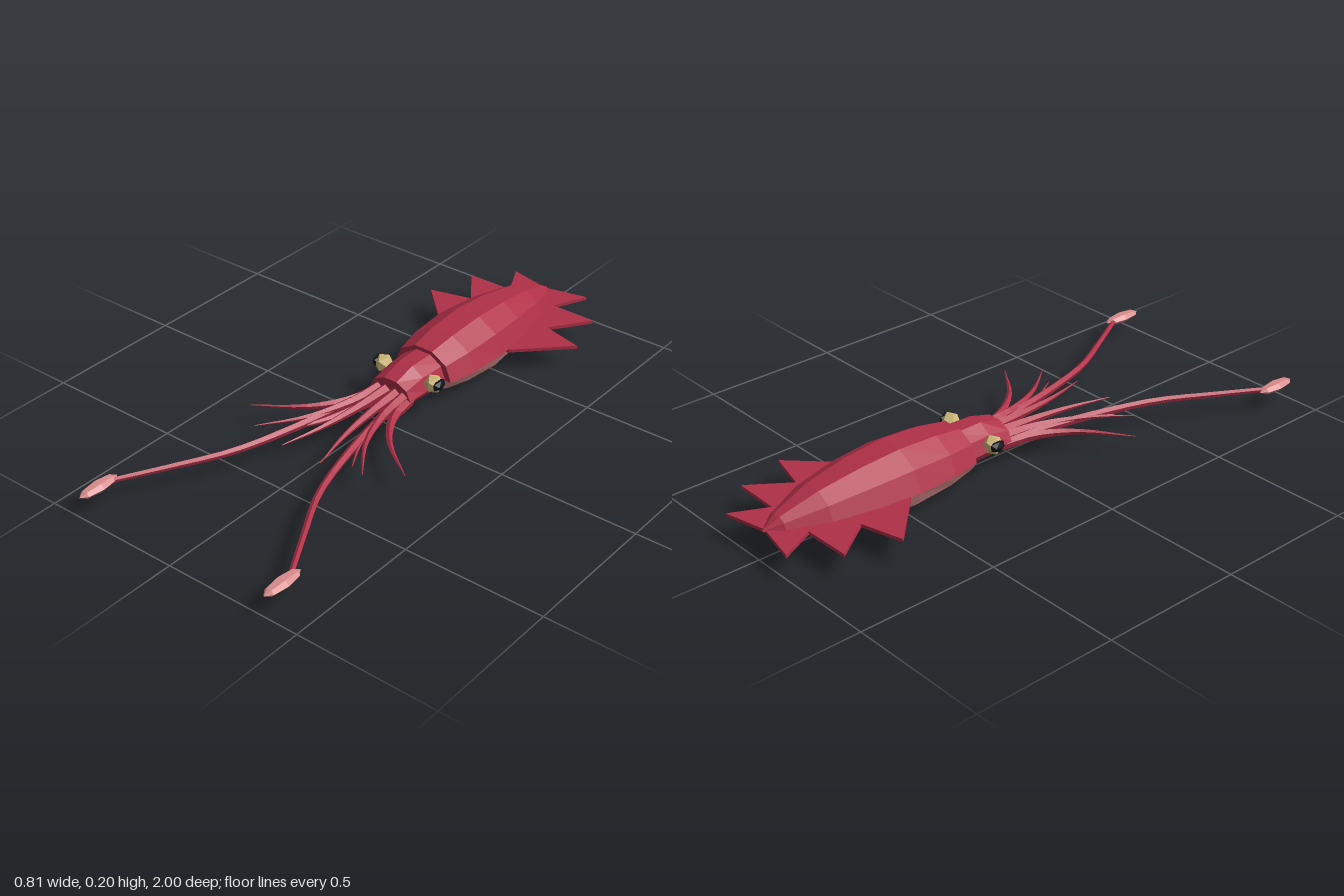
import * as THREE from 'three';

const paint = (name, color) => new THREE.MeshStandardMaterial({ name, color, flatShading: true });
const MID = 0.087; // height of the widest line of the body
const CX = 0.009;  // body axis

// Ten-sided loft along z; rings are [z, halfWidth, topY, bottomY], from front to back
function loft(rings, start, steps) {
  const pos = [], idx = [], n = steps + 1, peak = Math.sin(Math.PI * 0.4);
  for (const [z, w, top, bottom] of rings) {
    for (let j = 0; j < n; j++) {
      const a = (start + j) * Math.PI / 5, s = Math.sin(a);
      const h = (s > 0 ? top - MID : MID - bottom) / peak;
      pos.push(w * Math.cos(a), MID + h * s, z);
    }
  }
  for (let i = 0; i < rings.length - 1; i++) {
    for (let j = 0; j < steps; j++) {
      const a = i * n + j, c = a + n;
      idx.push(a, c, a + 1, a + 1, c, c + 1);
    }
  }
  // front cap
  const centre = pos.length / 3;
  pos.push(0, MID, rings[0][0]);
  for (let j = 0; j < steps; j++) idx.push(centre, j, j + 1);
  const g = new THREE.BufferGeometry();
  g.setAttribute('position', new THREE.Float32BufferAttribute(pos, 3));
  g.setIndex(idx);
  g.computeVertexNormals();
  return g;
}

// Tube whose radius shrinks from r0 to r1 along the path
function taperedTube(points, r0, r1, segments, sides) {
  const curve = new THREE.CatmullRomCurve3(points.map(p => new THREE.Vector3(...p)));
  const g = new THREE.TubeGeometry(curve, segments, 1, sides);
  const p = g.attributes.position, v = new THREE.Vector3();
  for (let i = 0; i < p.count; i++) {
    const t = Math.floor(i / (sides + 1)) / segments;
    const c = curve.getPointAt(t);
    v.fromBufferAttribute(p, i).sub(c).multiplyScalar(r0 + (r1 - r0) * t).add(c);
    p.setXYZ(i, v.x, v.y, v.z);
  }
  g.computeVertexNormals();
  return g;
}

export function createModel() {
  const red = paint('crimson skin', 0xb03048);
  const pink = paint('pale pink', 0xd88a8a);
  const gold = paint('eye gold', 0xd2ba78);
  const black = paint('pupil black', 0x10121a);

  const model = new THREE.Group();
  const body = new THREE.Group();
  body.name = 'body';
  body.position.x = CX;
  model.add(body);
  const add = (parent, name, geometry, material) => {
    const mesh = new THREE.Mesh(geometry, material);
    mesh.name = name;
    parent.add(mesh);
    return mesh;
  };

  // Mantle: red back and pale belly
  const mantle = [
    [-0.225, 0.118, 0.178, 0.035], [-0.33, 0.14, 0.195, 0.016], [-0.48, 0.147, 0.203, 0],
    [-0.63, 0.134, 0.192, 0.012], [-0.785, 0.102, 0.166, 0.034], [-0.92, 0.046, 0.122, 0.064],
    [-0.975, 0.001, 0.088, 0.086],
  ];
  add(body, 'mantleBack', loft(mantle, 0, 5), red);
  add(body, 'mantleBelly', loft(mantle, 5, 5), pink);

  // Head
  add(body, 'head', loft([
    [-0.045, 0.084, 0.142, 0.05], [-0.13, 0.088, 0.165, 0.043], [-0.26, 0.096, 0.165, 0.04],
  ], 0, 10), red);

  // Jagged tail fin
  const edge = [[0.147, -0.52], [0.319, -0.69], [0.167, -0.73], [0.267, -0.87], [0.095, -0.873], [0.157, -1]];
  const outline = [[0, -0.5], ...edge, [0, -0.965], ...edge.map(([x, z]) => [-x, z]).reverse()];
  const fin = new THREE.ExtrudeGeometry(
    new THREE.Shape(outline.map(p => new THREE.Vector2(...p))), { depth: 0.012, bevelEnabled: false });
  fin.rotateX(Math.PI / 2);
  add(body, 'tailFin', fin, red).position.y = 0.089;

  // Arms on each side: [rootX, rootY, tipX, tipY, tipZ]
  const arms = [
    [0.02, 0.095, 0.08, 0.088, 0.41], [0.038, 0.066, 0.16, 0.076, 0.35],
    [0.05, 0.092, 0.225, 0.087, 0.38], [0.062, 0.075, 0.325, 0.08, 0.29],
  ];

  for (const [side, s] of [['left', 1], ['right', -1]]) {
    // Eye and pupil
    const eye = add(body, side + 'Eye', new THREE.IcosahedronGeometry(0.034, 0), gold);
    eye.position.set(s * 0.106, 0.119, -0.145);
    const pupil = add(body, side + 'Pupil', new THREE.IcosahedronGeometry(1, 0), black);
    pupil.scale.set(0.017, 0.021, 0.031);
    pupil.position.set(s * 0.128, 0.123, -0.145);

    // Short curling arms
    arms.forEach(([rx, ry, tx, ty, tz], i) => {
      const at = (u, w) => [s * (rx + (tx - rx) * u), ry + (ty - ry) * w, -0.07 + (tz + 0.07) * w];
      add(body, `${side}Arm${i + 1}`,
        taperedTube([at(0, 0), at(0.1, 0.33), at(0.42, 0.68), at(1, 1)], 0.022, 0.0015, 10, 5), red);
    });

    // Long feeding tentacle with its club
    add(model, side + 'Tentacle', taperedTube([
      [s * 0.05 + CX, 0.082, -0.07], [s * 0.075, 0.082, 0.1], [s * 0.115, 0.08, 0.3],
      [s * 0.18, 0.078, 0.52], [s * 0.28, 0.076, 0.71], [s * 0.37, 0.075, 0.87],
    ], 0.017, 0.009, 14, 5), red);
    const club = add(model, side + 'Club', new THREE.SphereGeometry(1, 6, 4).rotateX(Math.PI / 2), pink);
    club.scale.set(0.027, 0.018, 0.08);
    club.position.set(s * 0.378, 0.075, 0.92);
  }
  return model;
}
